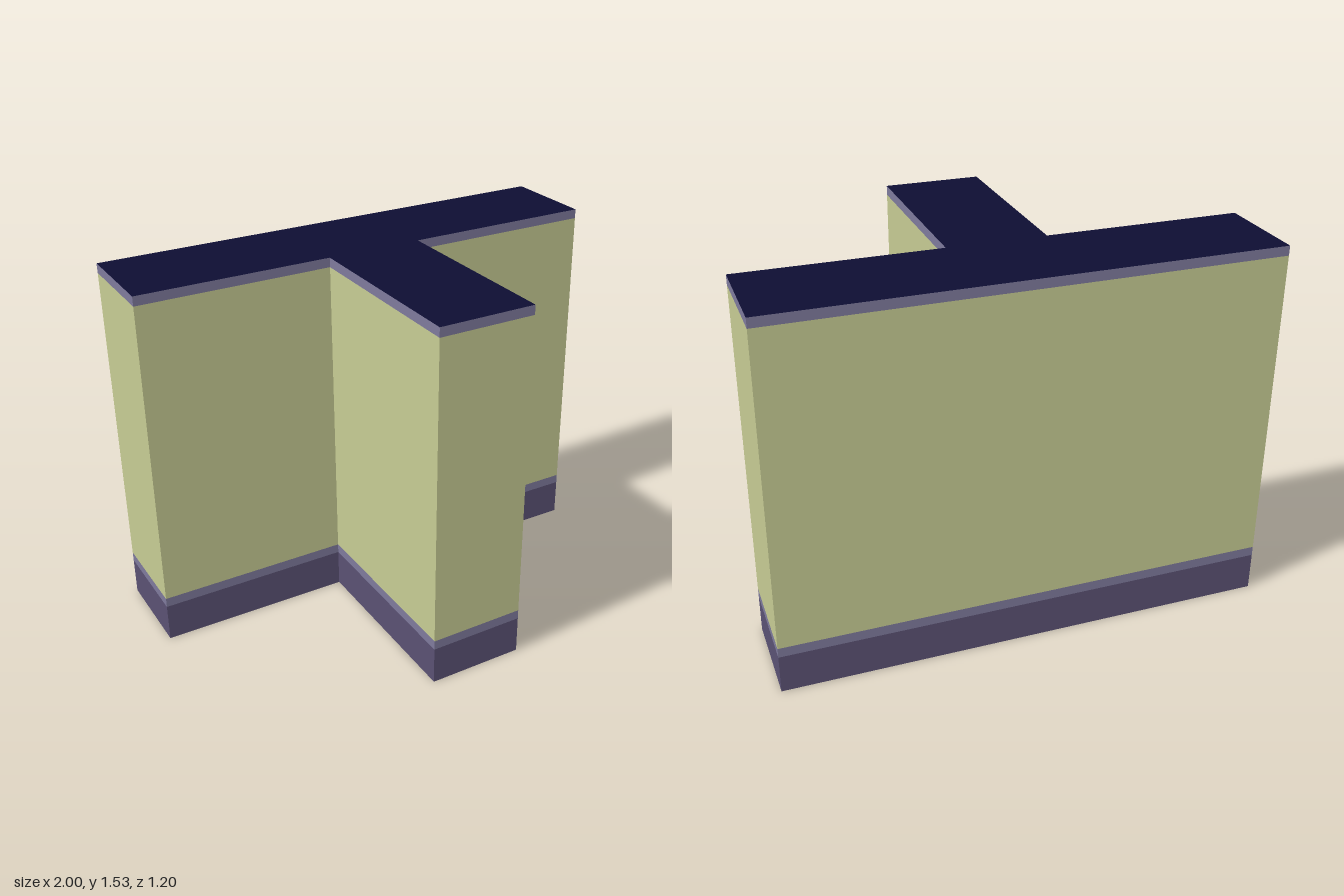
import * as THREE from 'three';

const material = (name, color) =>
  new THREE.MeshStandardMaterial({ name, color, side: THREE.DoubleSide });

// T-shaped floor plan as [x, z], running anticlockwise seen from above
const plan = [
  [-0.2, 0.6], [0.2, 0.6], [0.2, -0.2], [1, -0.2],
  [1, -0.6], [-1, -0.6], [-1, -0.2], [-0.2, -0.2],
];

// Open band of upright faces following the plan between two heights
function band(name, y0, y1, mat) {
  const positions = [];
  plan.forEach(([ax, az], i) => {
    const [bx, bz] = plan[(i + 1) % plan.length];
    positions.push(
      ax, y0, az, bx, y0, bz, bx, y1, bz,
      ax, y0, az, bx, y1, bz, ax, y1, az,
    );
  });
  const geometry = new THREE.BufferGeometry();
  geometry.setAttribute('position', new THREE.Float32BufferAttribute(positions, 3));
  geometry.computeVertexNormals();
  const mesh = new THREE.Mesh(geometry, mat);
  mesh.name = name;
  return mesh;
}

export function createModel() {
  const plaster = material('pale green plaster', 0xc6cb93);
  const trim = material('light purple trim', 0x7e7a9c);
  const base = material('purple base', 0x5a5173);
  const navy = material('navy top', 0x0d0d33);

  const group = new THREE.Group();
  group.name = 'tJunctionWall';

  // Stacked bands, hollow and open underneath
  group.add(
    band('skirting', 0, 0.16, base),
    band('skirtingTrim', 0.16, 0.2, trim),
    band('wall', 0.2, 1.488, plaster),
    band('topTrim', 1.488, 1.527, trim),
  );

  // Flat cap closing the top
  const shape = new THREE.Shape(plan.map(([x, z]) => new THREE.Vector2(x, -z)));
  const cap = new THREE.Mesh(new THREE.ShapeGeometry(shape).rotateX(-Math.PI / 2), navy);
  cap.position.y = 1.527;
  cap.name = 'topCap';
  group.add(cap);

  return group;
}
